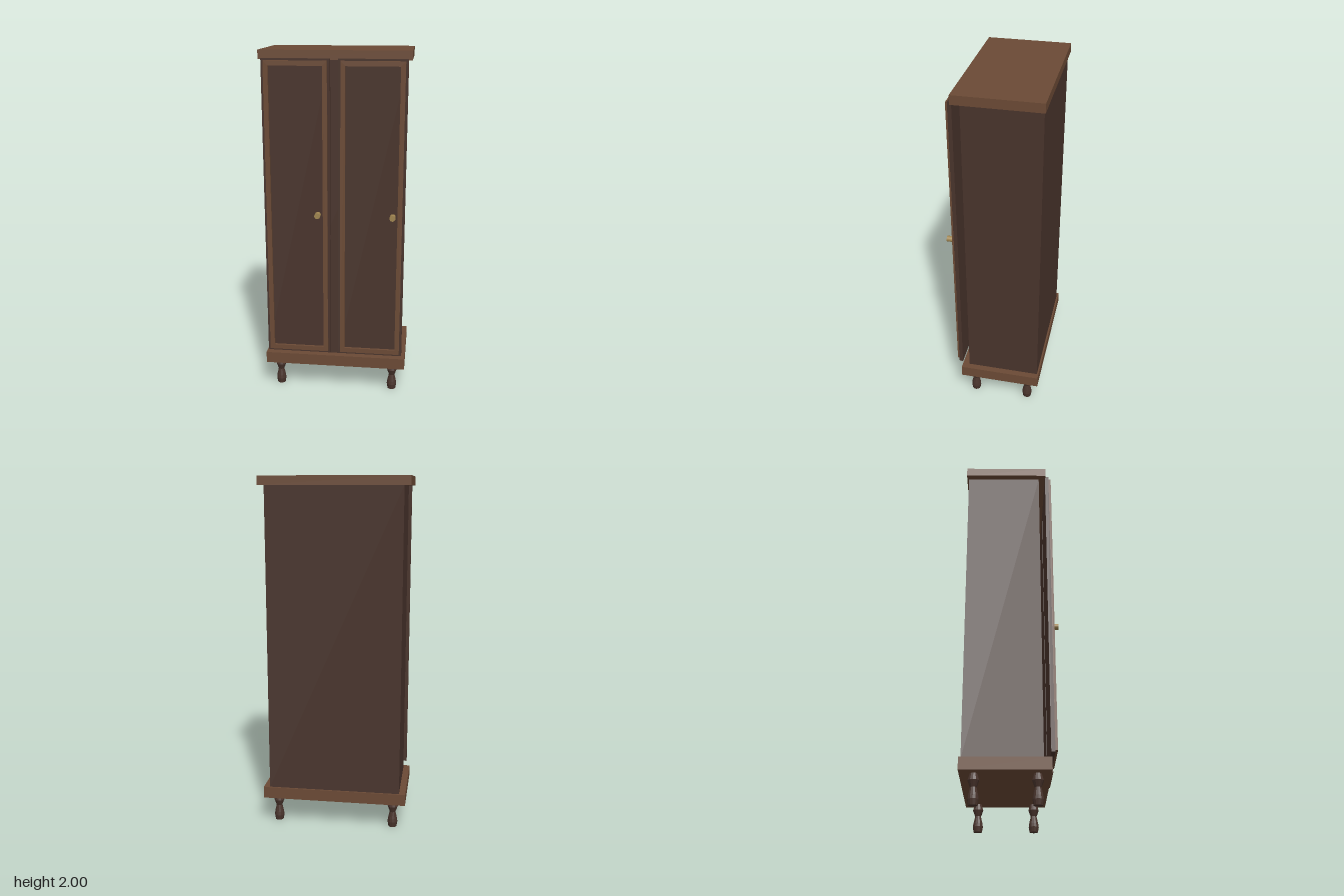
import * as THREE from 'three';

const trim = new THREE.MeshStandardMaterial({ color: 0x6b4a35 });
const dark = new THREE.MeshStandardMaterial({ color: 0x49342c });
const turned = new THREE.MeshStandardMaterial({ color: 0x49342c, flatShading: true });
const brass = new THREE.MeshStandardMaterial({ color: 0xa08550 });

function add(parent, name, geometry, material, x = 0, y = 0, z = 0) {
  const mesh = new THREE.Mesh(geometry, material);
  mesh.name = name;
  mesh.position.set(x, y, z);
  parent.add(mesh);
  return mesh;
}

// Box given by its minimum and maximum corners
function box(parent, name, material, [x0, y0, z0], [x1, y1, z1]) {
  return add(parent, name, new THREE.BoxGeometry(x1 - x0, y1 - y0, z1 - z0), material,
    (x0 + x1) / 2, (y0 + y1) / 2, (z0 + z1) / 2);
}

function rect(path, w, h) {
  path.moveTo(-w / 2, -h / 2);
  path.lineTo(w / 2, -h / 2);
  path.lineTo(w / 2, h / 2);
  path.lineTo(-w / 2, h / 2);
  path.closePath();
  return path;
}

// Door: dark slab, raised frame around the panel, and a knob near its right edge
function createDoor(name, x) {
  const door = new THREE.Group();
  door.name = name;
  door.position.x = x;
  box(door, 'doorPanel', dark, [-0.186, 0.257, 0.193], [0.186, 1.957, 0.214]);

  const shape = rect(new THREE.Shape(), 0.344, 1.678);
  shape.holes.push(rect(new THREE.Path(), 0.292, 1.624));
  const frame = new THREE.ExtrudeGeometry(shape, { depth: 0.015, bevelEnabled: false });
  add(door, 'doorFrame', frame, trim, 0, 1.108, 0.213);

  const stem = new THREE.CylinderGeometry(0.011, 0.011, 0.012, 16).rotateX(Math.PI / 2);
  const knob = new THREE.CylinderGeometry(0.0165, 0.0165, 0.035, 16).rotateX(Math.PI / 2);
  add(door, 'knobStem', stem, brass, 0.12, 1.108, 0.231);
  add(door, 'knob', knob, brass, 0.12, 1.108, 0.2525);
  return door;
}

export function createModel() {
  const wardrobe = new THREE.Group();
  wardrobe.name = 'wardrobe';

  // Carcass between the base and top slabs
  box(wardrobe, 'topSlab', trim, [-0.413, 1.95, -0.27], [0.413, 2, 0.197]);
  box(wardrobe, 'baseSlab', trim, [-0.413, 0.16, -0.27], [0.413, 0.226, 0.197]);
  box(wardrobe, 'cabinetBody', dark, [-0.377, 0.226, -0.26], [0.377, 1.95, 0.157]);

  wardrobe.add(createDoor('rightDoor', -0.208), createDoor('leftDoor', 0.208));

  // Turned legs
  const profile = [
    [0, 0], [0.024, 0], [0.029, 0.03], [0.026, 0.05], [0.017, 0.09],
    [0.03, 0.125], [0.02, 0.16], [0, 0.16],
  ].map(([r, y]) => new THREE.Vector2(r, y));
  const legGeometry = new THREE.LatheGeometry(profile, 12);
  for (const x of [-0.338, 0.338]) {
    for (const z of [-0.195, 0.127]) {
      add(wardrobe, z > 0 ? 'frontLeg' : 'backLeg', legGeometry, turned, x, 0, z);
    }
  }
  return wardrobe;
}
